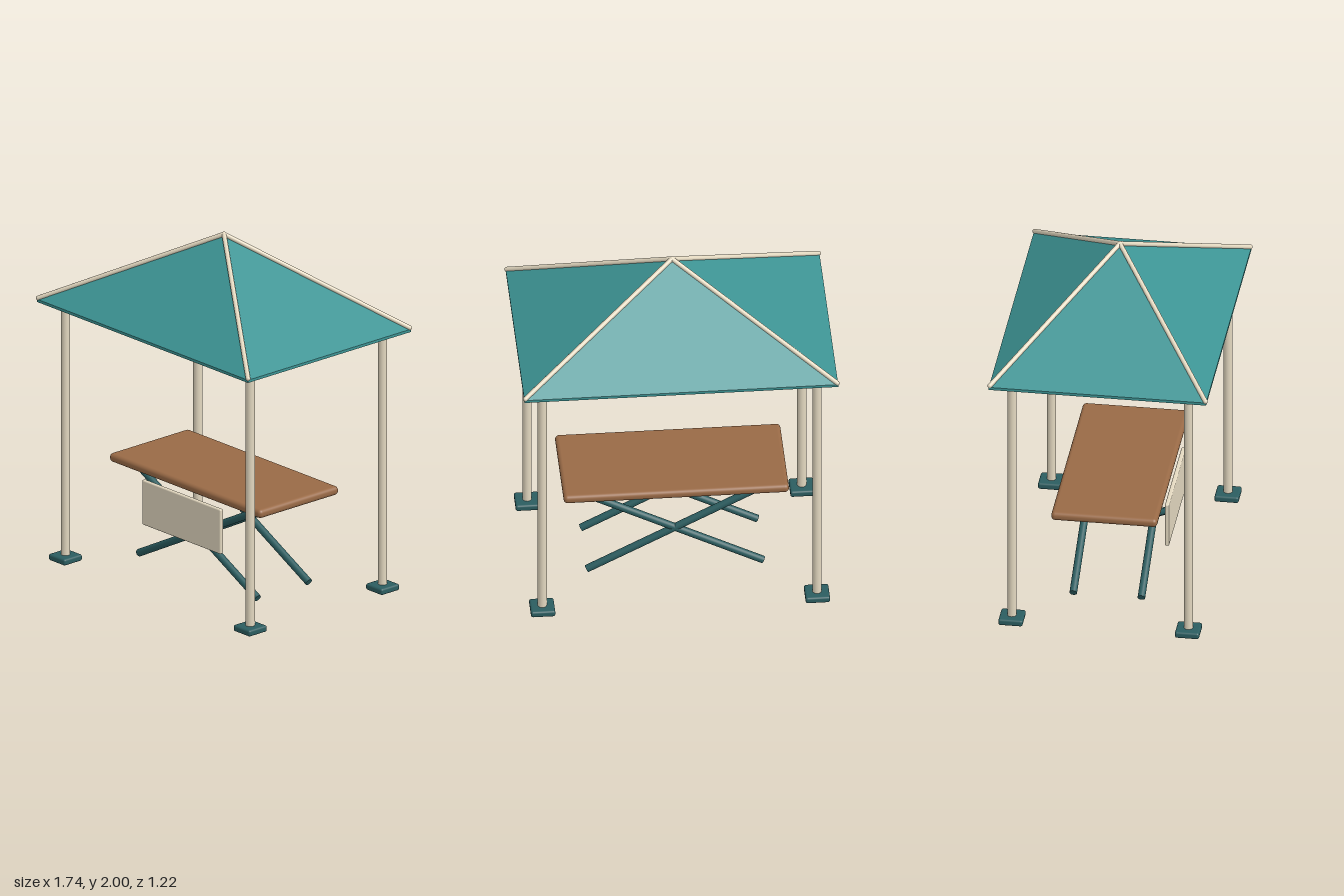
import * as THREE from 'three';
import { RoundedBoxGeometry } from 'three/addons/geometries/RoundedBoxGeometry.js';

const material = (color, extra = {}) => new THREE.MeshStandardMaterial({ color, ...extra });

export function createModel() {
  const model = new THREE.Group();
  model.name = 'picnicShelter';

  const canvas = material(0x3d9494, { side: THREE.DoubleSide, flatShading: true });
  const darkTeal = material(0x2b5d60);
  const cream = material(0xe3d8c0);
  const wood = material(0x996a46);

  const add = (name, geometry, mat, x = 0, y = 0, z = 0) => {
    const mesh = new THREE.Mesh(geometry, mat);
    mesh.name = name;
    mesh.position.set(x, y, z);
    model.add(mesh);
    return mesh;
  };

  // Round bar between two points
  const bar = (name, a, b, radius, mat) => {
    const from = new THREE.Vector3(...a);
    const to = new THREE.Vector3(...b);
    const dir = to.clone().sub(from);
    const mesh = add(name, new THREE.CylinderGeometry(radius, radius, dir.length(), 20), mat);
    mesh.position.copy(from).add(to).multiplyScalar(0.5);
    mesh.quaternion.setFromUnitVectors(new THREE.Vector3(0, 1, 0), dir.normalize());
    return mesh;
  };

  // Four-sided canopy, open below, with a narrow hem
  const eave = 1.52, hem = 1.504, peak = [0, 1.978, 0];
  const corners = [[0.86, 0.6], [0.86, -0.6], [-0.86, -0.6], [-0.86, 0.6]];
  const points = [];
  corners.forEach(([x, z], i) => {
    const [nx, nz] = corners[(i + 1) % 4];
    const a = [x, eave, z], b = [nx, eave, nz];
    const c = [x, hem, z], d = [nx, hem, nz];
    points.push(...a, ...b, ...peak, ...c, ...d, ...b, ...c, ...b, ...a);
  });
  const roof = new THREE.BufferGeometry();
  roof.setAttribute('position', new THREE.Float32BufferAttribute(points, 3));
  roof.computeVertexNormals();
  add('canopy', roof, canvas);

  for (const sx of [-1, 1]) {
    for (const sz of [-1, 1]) {
      // Hip ribs with rounded ends
      const end = [sx * 0.855, 1.527, sz * 0.595];
      bar('hipRib', end, [0, 1.986, 0], 0.013, cream);
      add('ribEnd', new THREE.SphereGeometry(0.013, 16, 10), cream, ...end);

      // Posts on foot pads
      bar('post', [sx * 0.753, 0.03, sz * 0.487], [sx * 0.753, 1.515, sz * 0.487], 0.025, cream);
      add('footPad', new RoundedBoxGeometry(0.134, 0.037, 0.134, 3, 0.012), darkTeal,
        sx * 0.753, 0.0185, sz * 0.487);

      // Crossed table legs
      bar('tableLeg', [-sx * 0.483, 0.045, sz * 0.188], [sx * 0.483, 0.551, sz * 0.188], 0.021, darkTeal);
    }
  }
  add('ribCap', new THREE.SphereGeometry(0.014, 16, 10), cream, 0, 1.986, 0);

  // Table top and front panel
  add('tableTop', new RoundedBoxGeometry(1.235, 0.05, 0.585, 4, 0.022), wood, 0, 0.59, 0);
  add('frontPanel', new RoundedBoxGeometry(0.64, 0.26, 0.024, 3, 0.008), cream, 0, 0.416, 0.305);

  return model;
}
